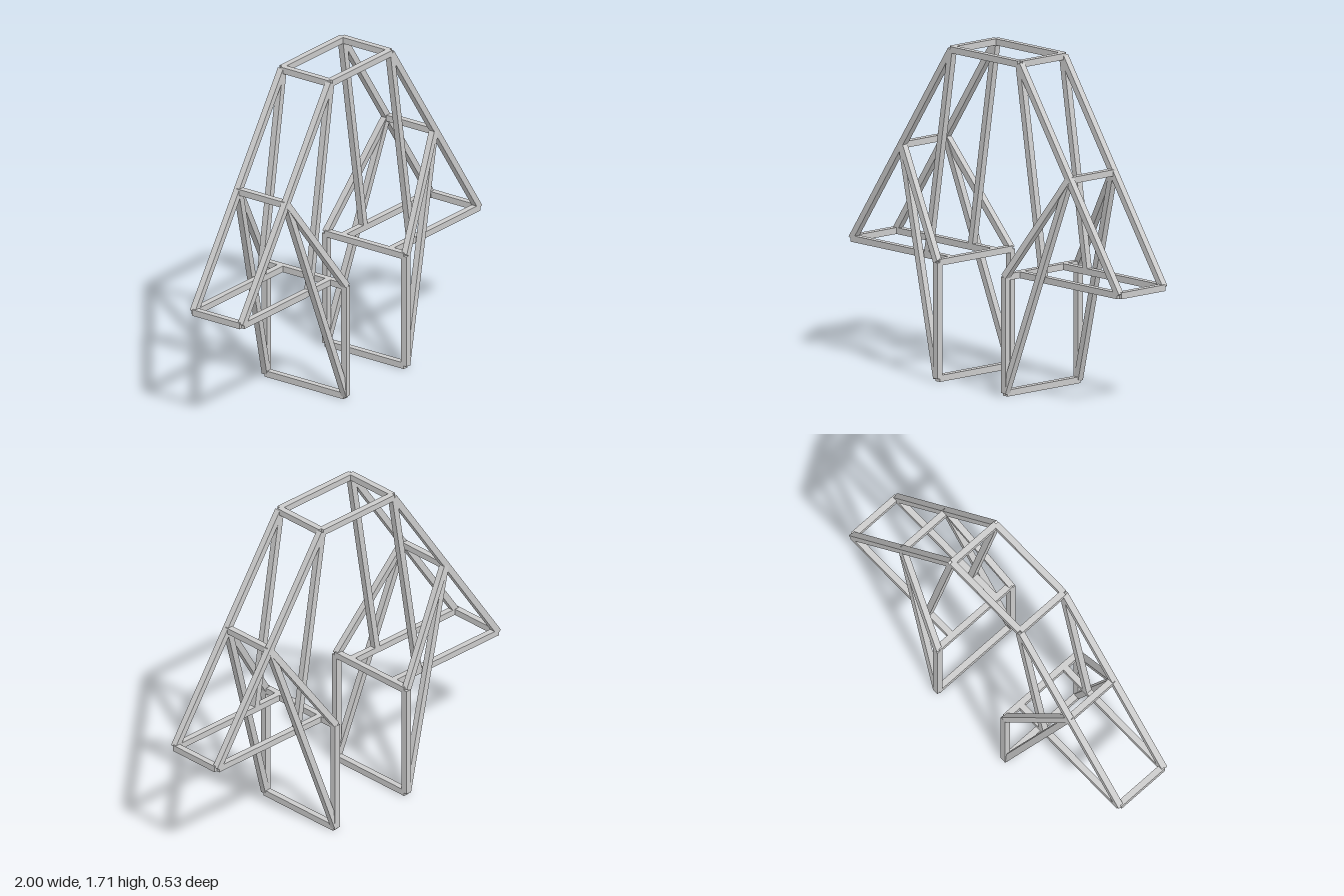
import * as THREE from 'three';

const T = 0.033; // square bar thickness
const material = new THREE.MeshStandardMaterial({ color: 0xcccccc, flatShading: true });

// Square bar running from point a to point b
function bar(name, a, b) {
  const start = new THREE.Vector3(...a);
  const end = new THREE.Vector3(...b);
  const dir = end.clone().sub(start);
  const mesh = new THREE.Mesh(new THREE.BoxGeometry(T, dir.length(), T), material);
  dir.normalize();
  const ref = Math.abs(dir.z) > 0.9 ? new THREE.Vector3(1, 0, 0) : new THREE.Vector3(0, 0, 1);
  const side = dir.clone().cross(ref).normalize();
  const depth = side.clone().cross(dir);
  mesh.quaternion.setFromRotationMatrix(new THREE.Matrix4().makeBasis(side, dir, depth));
  mesh.position.copy(start).add(end).multiplyScalar(0.5);
  mesh.name = name;
  return mesh;
}

export function createModel() {
  const model = new THREE.Group();
  model.name = 'barFrame';

  // Joints as [x, y, half depth] on the +x side
  const top = [0.25, 1.69, 0.15];
  const shoulder = [0.615, 1.148, 0.15];
  const outer = [0.983, 0.612, 0.15];
  const brace = [0.425, 0.612, 0.15];
  const inner = [0.25, 0.612, 0.15];
  const knee = [0.25, 0.612, 0.25];
  const foot = [0.25, T / 2, 0.25];

  const struts = [
    ['outerRafter', top, outer],
    ['innerBrace', top, brace],
    ['wingFloorRail', inner, outer],
    ['kneeStrut', shoulder, knee],
    ['footStrut', shoulder, foot],
    ['legPost', knee, foot],
  ];
  const crossBars = { topCrossBar: top, shoulderCrossBar: shoulder, outerCrossBar: outer, kneeCrossBar: knee, footCrossBar: foot };

  for (const sx of [1, -1]) {
    const half = new THREE.Group();
    half.name = sx > 0 ? 'leftHalf' : 'rightHalf';
    const at = ([x, y, z], sz) => [x * sx, y, z * sz];

    // Struts on the front and back faces
    for (const sz of [1, -1]) {
      for (const [name, a, b] of struts) half.add(bar(name, at(a, sz), at(b, sz)));
    }
    // Bars joining the front and back faces
    for (const [name, p] of Object.entries(crossBars)) half.add(bar(name, at(p, -1), at(p, 1)));
    model.add(half);
  }

  // Top rails joining both halves
  for (const z of [0.15, -0.15]) model.add(bar('topRail', [-top[0], top[1], z], [top[0], top[1], z]));

  return model;
}
